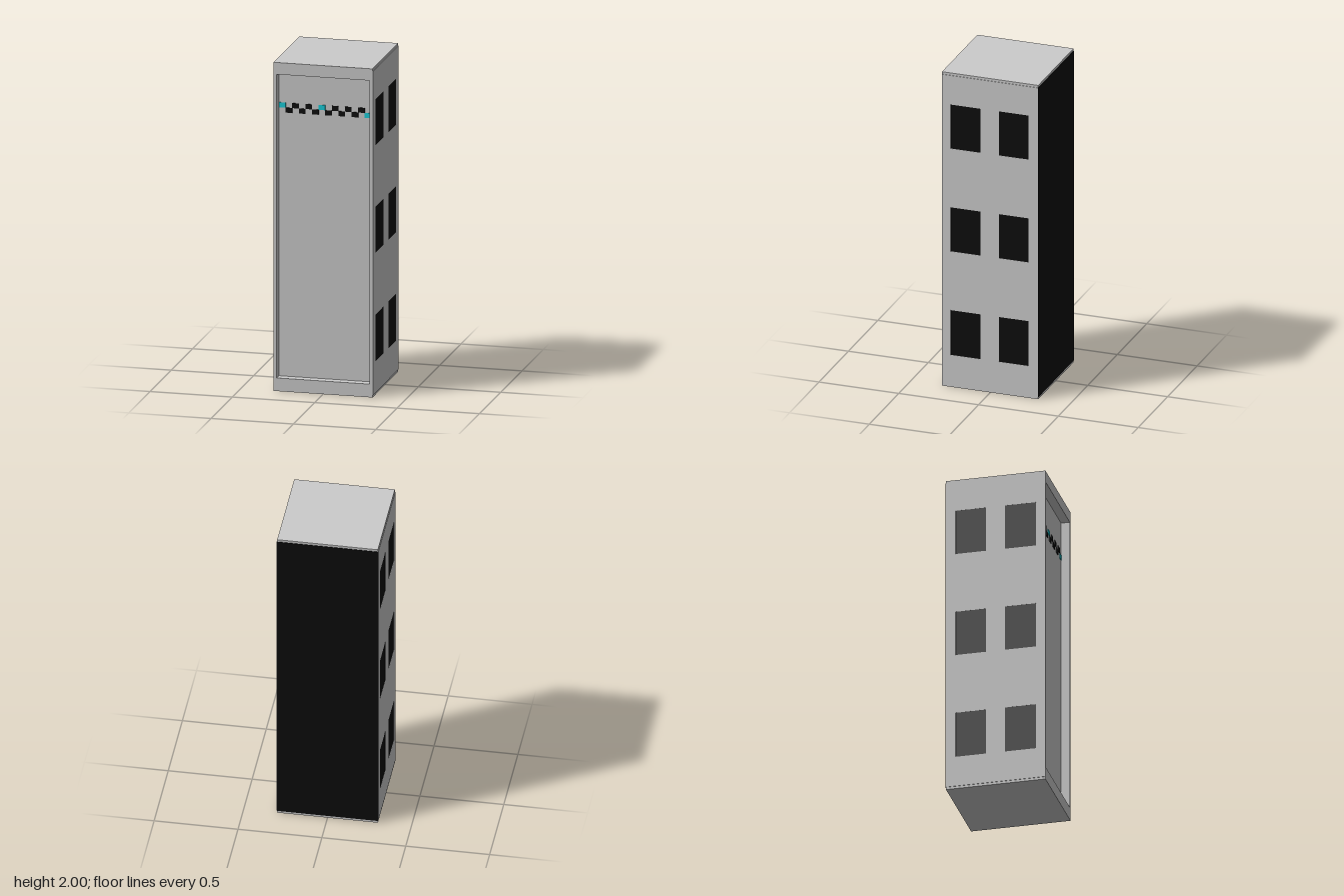
import * as THREE from 'three';

const grey = new THREE.MeshStandardMaterial({ color: 0xcccccc });
const black = new THREE.MeshStandardMaterial({ color: 0x0c0c0c });
const cyan = new THREE.MeshStandardMaterial({ color: 0x18ccd8 });

function rect(Type, x0, y0, x1, y1) {
  return new Type([[x0, y0], [x1, y0], [x1, y1], [x0, y1]].map(p => new THREE.Vector2(...p)));
}

function add(parent, name, geometry, material, x = 0, y = 0, z = 0) {
  const mesh = new THREE.Mesh(geometry, material);
  mesh.name = name;
  mesh.position.set(x, y, z);
  parent.add(mesh);
  return mesh;
}

// Louvre-sized openings shared by both sides: [z0, z1] and [y0, y1]
const columns = [[-0.24, -0.055], [0.06, 0.247]];
const rows = [[0.205, 0.49], [0.865, 1.145], [1.52, 1.8]];

// Side cover with six dark panes, drawn facing +z and turned outwards
function sidePanel(side) {
  const group = new THREE.Group();
  group.name = side > 0 ? 'leftSide' : 'rightSide';
  const cover = rect(THREE.Shape, -0.299, 0.015, 0.299, 1.985);
  for (const [z0, z1] of columns) {
    for (const [y0, y1] of rows) {
      const u0 = side > 0 ? -z1 : z0, u1 = side > 0 ? -z0 : z1;
      cover.holes.push(rect(THREE.Path, u0, y0, u1, y1));
      add(group, 'sideWindow', new THREE.BoxGeometry(u1 - u0, y1 - y0, 0.0025), black,
        (u0 + u1) / 2, (y0 + y1) / 2, 0.00125);
    }
  }
  add(group, 'sideCover', new THREE.ExtrudeGeometry(cover, { depth: 0.003, bevelEnabled: false }), grey);
  group.rotation.y = side * Math.PI / 2;
  group.position.x = side * 0.3;
  return group;
}

export function createModel() {
  const model = new THREE.Group();
  model.name = 'cabinet';

  // Main body, ending at the recessed front panel
  add(model, 'body', new THREE.BoxGeometry(0.6, 2, 0.55), grey, 0, 1, -0.025);

  // Front frame around the recess
  const frame = rect(THREE.Shape, -0.3, 0, 0.3, 2);
  frame.holes.push(rect(THREE.Path, -0.282, 0.08, 0.282, 1.928));
  add(model, 'frontFrame', new THREE.ExtrudeGeometry(frame, { depth: 0.053, bevelEnabled: false }),
    grey, 0, 0, 0.25);

  // Two staggered rows of indicator lights
  const lights = new THREE.Group();
  lights.name = 'indicatorLights';
  for (let i = 0; i < 14; i++) {
    const material = [0, 6, 13].includes(i) ? cyan : black;
    add(lights, 'light', new THREE.BoxGeometry(0.04, 0.03, 0.004), material,
      -0.26 + i * 0.04, i % 2 ? 1.7 : 1.73, 0.252);
  }
  model.add(lights);

  // Dark back cover
  add(model, 'backPanel', new THREE.BoxGeometry(0.6, 1.97, 0.003), black, 0, 1, -0.3015);

  model.add(sidePanel(1), sidePanel(-1));
  return model;
}
